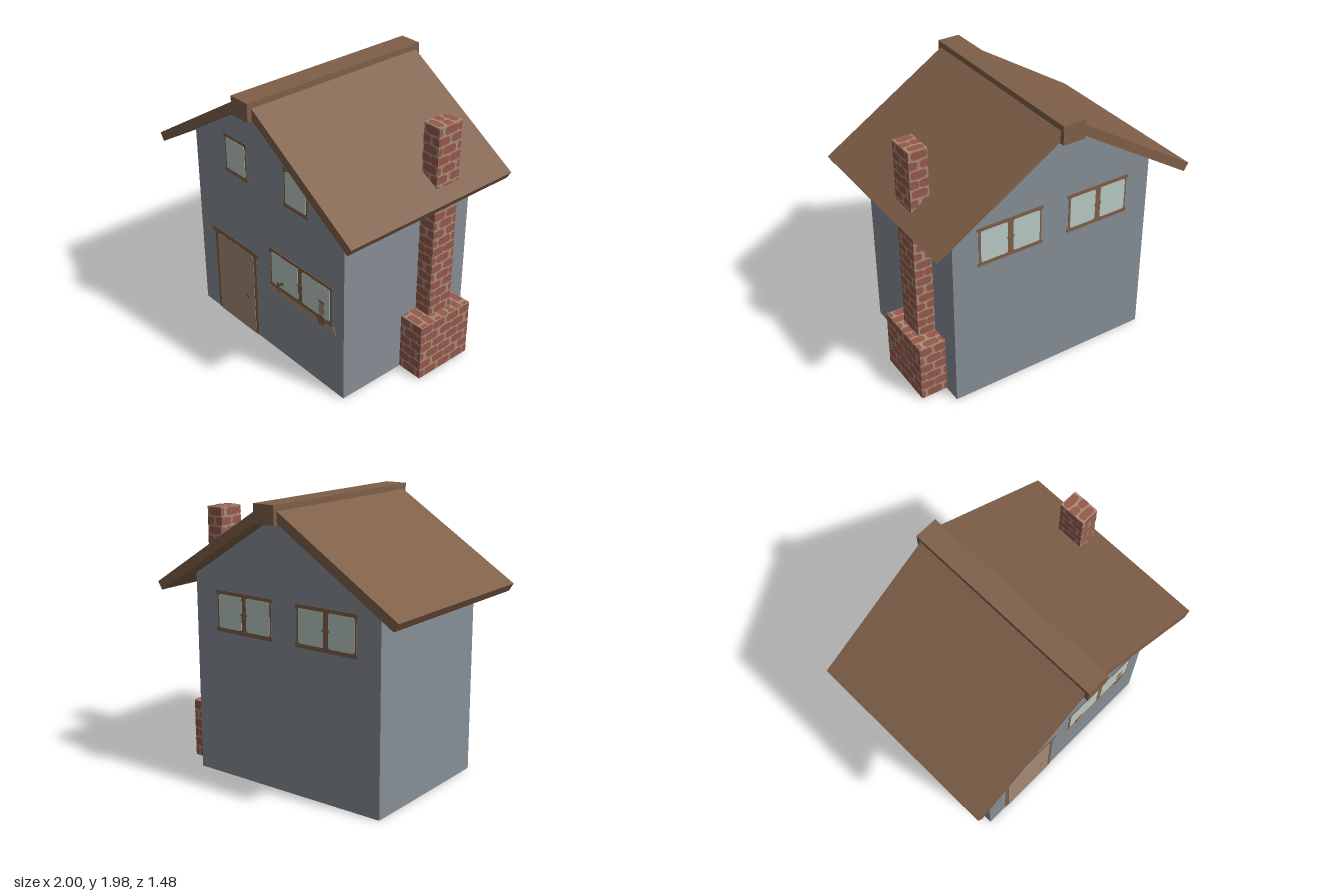
import * as THREE from 'three';

const mat = (name, color) => {
  const m = new THREE.MeshStandardMaterial({ color });
  m.name = name;
  return m;
};

export function createModel() {
  const house = new THREE.Group();
  house.name = 'house';
  const wall = mat('wall grey', 0x868e95);
  const wood = mat('wood brown', 0x7f5f48);
  const tan = mat('mortar and door tan', 0xa58a76);
  const brick = mat('brick red', 0x96584a);
  const glass = mat('window glass', 0xb9cac5);

  const add = (parent, name, geometry, material) => {
    const mesh = new THREE.Mesh(geometry, material);
    mesh.name = name;
    parent.add(mesh);
    return mesh;
  };
  const polygon = pts => new THREE.Shape(pts.map(p => new THREE.Vector2(...p)));
  const prism = (pts, halfDepth) =>
    new THREE.ExtrudeGeometry(polygon(pts), { depth: 2 * halfDepth, bevelEnabled: false }).translate(0, 0, -halfDepth);
  const block = (x0, x1, y0, y1, z0, z1) =>
    new THREE.BoxGeometry(x1 - x0, y1 - y0, z1 - z0).translate((x0 + x1) / 2, (y0 + y1) / 2, (z0 + z1) / 2);

  // Rectangle with rounded corners
  const rounded = (x0, x1, y0, y1, r) => {
    const s = new THREE.Shape();
    s.moveTo(x0 + r, y0).lineTo(x1 - r, y0).quadraticCurveTo(x1, y0, x1, y0 + r);
    s.lineTo(x1, y1 - r).quadraticCurveTo(x1, y1, x1 - r, y1);
    s.lineTo(x0 + r, y1).quadraticCurveTo(x0, y1, x0, y1 - r);
    s.lineTo(x0, y0 + r).quadraticCurveTo(x0, y0, x0 + r, y0);
    return s;
  };
  const ellipse = (x, y, rx, ry) => new THREE.Shape().absellipse(x, y, rx, ry, 0, Math.PI * 2);
  // Thin painted plate standing on a wall
  const plate = (parent, name, shapes, material, depth) =>
    add(parent, name, new THREE.ExtrudeGeometry(shapes, { depth, bevelEnabled: false, curveSegments: 6 }), material);

  // Walls with gables
  add(house, 'walls', prism([[-0.775, 0], [0.775, 0], [0.775, 1.427], [0, 1.915], [-0.775, 1.427]], 0.558), wall);

  // Roof slabs and ridge beam
  for (const s of [-1, 1]) {
    const section = [[0.04, 1.965], [1, 1.36], [0.965, 1.305], [0.04, 1.887]];
    add(house, s < 0 ? 'rightRoof' : 'leftRoof', prism(section.map(([x, y]) => [s * x, y]), 0.708), wood);
  }
  add(house, 'ridgeBeam', block(-0.082, 0.082, 1.85, 1.98, -0.74, 0.74), wood);

  // Facade groups: local +z points away from the wall
  const front = new THREE.Group();
  front.name = 'frontFacade';
  front.position.z = 0.558;
  const back = new THREE.Group();
  back.name = 'backFacade';
  back.position.z = -0.558;
  back.rotation.y = Math.PI;
  house.add(front, back);

  // Framed window with one or two panes
  const addWindow = (parent, x0, x1, y0, y1, panes) => {
    const w = new THREE.Group();
    w.name = 'window';
    parent.add(w);
    plate(w, 'windowFrame', rounded(x0 + 0.012, x1 - 0.012, y0, y1, 0.005), wood, 0.003);
    plate(w, 'windowLips', [
      rounded(x0, x1, y1 - 0.027, y1, 0.009),
      rounded(x0, x1, y0, y0 + 0.027, 0.009)], wood, 0.004);
    const a = x0 + 0.026, b = x1 - 0.026, gap = 0.042;
    const width = (b - a - gap * (panes - 1)) / panes;
    for (let i = 0; i < panes; i++) {
      const left = a + i * (width + gap);
      plate(w, 'pane', rounded(left, left + width, y0 + 0.03, y1 - 0.026, 0.016), glass, 0.006);
    }
    // Latch on the mullion
    if (panes > 1) plate(w, 'latch', ellipse((a + b) / 2, (y0 + y1) / 2, 0.031, 0.012), wood, 0.007);
  };
  addWindow(front, -0.442, -0.187, 1.24, 1.53, 1);
  addWindow(front, 0.185, 0.44, 1.24, 1.53, 1);
  addWindow(front, 0.018, 0.668, 0.535, 0.84, 2);
  addWindow(back, -0.593, -0.093, 1.04, 1.33, 2);
  addWindow(back, 0.1, 0.6, 1.04, 1.33, 2);

  // Sill with a vase and a small plant
  plate(front, 'windowSill', polygon([[-0.005, 0.48], [0.7, 0.48], [0.695, 0.515], [0.67, 0.54], [0.025, 0.54], [0, 0.515]]), tan, 0.0025);
  plate(front, 'vase', [
    ellipse(0.56, 0.543, 0.05, 0.032),
    rounded(0.53, 0.59, 0.497, 0.52, 0.005)], wood, 0.008);
  plate(front, 'vaseFlowers', [
    ellipse(0.563, 0.615, 0.033, 0.04),
    polygon([[0.545, 0.62], [0.58, 0.62], [0.59, 0.68], [0.535, 0.68]])], tan, 0.007);
  plate(front, 'flowerTop', polygon([[0.55, 0.675], [0.575, 0.675], [0.598, 0.69], [0.527, 0.69]]), wood, 0.008);
  plate(front, 'smallPlant', [
    polygon([[0.1, 0.55], [0.115, 0.505], [0.13, 0.55], [0.12, 0.57], [0.108, 0.57]]),
    ellipse(0.115, 0.582, 0.02, 0.014),
    ellipse(0.155, 0.605, 0.017, 0.013),
    polygon([[0.112, 0.565], [0.12, 0.56], [0.15, 0.6], [0.143, 0.606]])], wood, 0.008);

  // Door
  plate(front, 'doorFrame', polygon([[-0.612, 0], [-0.135, 0], [-0.135, 0.68], [-0.612, 0.68]]), wood, 0.003);
  plate(front, 'doorLintel', rounded(-0.642, -0.105, 0.665, 0.705, 0.012), wood, 0.004);
  const doorShape = new THREE.Shape();
  doorShape.moveTo(-0.582, 0).lineTo(-0.165, 0).lineTo(-0.165, 0.63);
  doorShape.quadraticCurveTo(-0.165, 0.665, -0.2, 0.665).lineTo(-0.547, 0.665);
  doorShape.quadraticCurveTo(-0.582, 0.665, -0.582, 0.63);
  plate(front, 'door', doorShape, tan, 0.006);
  plate(front, 'doorKnob', ellipse(-0.243, 0.29, 0.016, 0.016), wood, 0.009);

  // Staggered bricks with cut corners, trimmed to a w x h face centred on the origin
  const brickFace = (w, h) => {
    const shapes = [], pitch = 0.125, rise = 0.066, gap = 0.013, cut = 0.014;
    const rows = Math.max(1, Math.round(h / rise)), step = h / rows;
    for (let r = 0; r < rows; r++) {
      const y0 = -h / 2 + r * step + gap / 2, y1 = y0 + step - gap;
      for (let i = -3; i <= 3; i++) {
        const centre = (i + (r % 2) / 2) * pitch;
        const wobble = 0.006 * Math.sin(r * 5.1 + i * 2.7);
        const x0 = centre - pitch / 2 + gap / 2 + wobble, x1 = centre + pitch / 2 - gap / 2 + wobble;
        const a = Math.max(x0, -w / 2), b = Math.min(x1, w / 2);
        if (b - a < 0.02) continue;
        const ca = a > x0 ? 0.001 : Math.min(cut, (b - a) / 3), cb = b < x1 ? 0.001 : Math.min(cut, (b - a) / 3);
        shapes.push(polygon([[a + ca, y0], [b - cb, y0], [b, y0 + cut], [b, y1 - cut],
          [b - cb, y1], [a + ca, y1], [a, y1 - cut], [a, y0 + cut]]));
      }
    }
    return new THREE.ShapeGeometry(shapes);
  };

  // Mortar block with bricks on every side
  const brickBlock = (name, x0, x1, y0, y1, z0, z1) => {
    const g = new THREE.Group();
    g.name = name;
    house.add(g);
    const w = x1 - x0, h = y1 - y0, d = z1 - z0, e = 0.002, q = Math.PI / 2;
    g.position.set((x0 + x1) / 2, (y0 + y1) / 2, (z0 + z1) / 2);
    add(g, 'mortar', new THREE.BoxGeometry(w, h, d), tan);
    const sides = [
      [w, h, d, 0, 0], [w, h, d, 0, 2 * q], [d, h, w, 0, q], [d, h, w, 0, -q],
      [w, d, h, -q, 0], [w, d, h, q, 0]];
    for (const [a, b, depth, rx, ry] of sides) {
      add(g, 'bricks', brickFace(a, b).translate(0, 0, depth / 2 + e).rotateX(rx).rotateY(ry), brick);
    }
  };
  brickBlock('chimneyBase', 0.77, 0.968, 0.002, 0.43, -0.425, 0.035);
  brickBlock('chimneyStack', 0.77, 0.903, 0.43, 1.845, -0.296, -0.1);

  return house;
}
